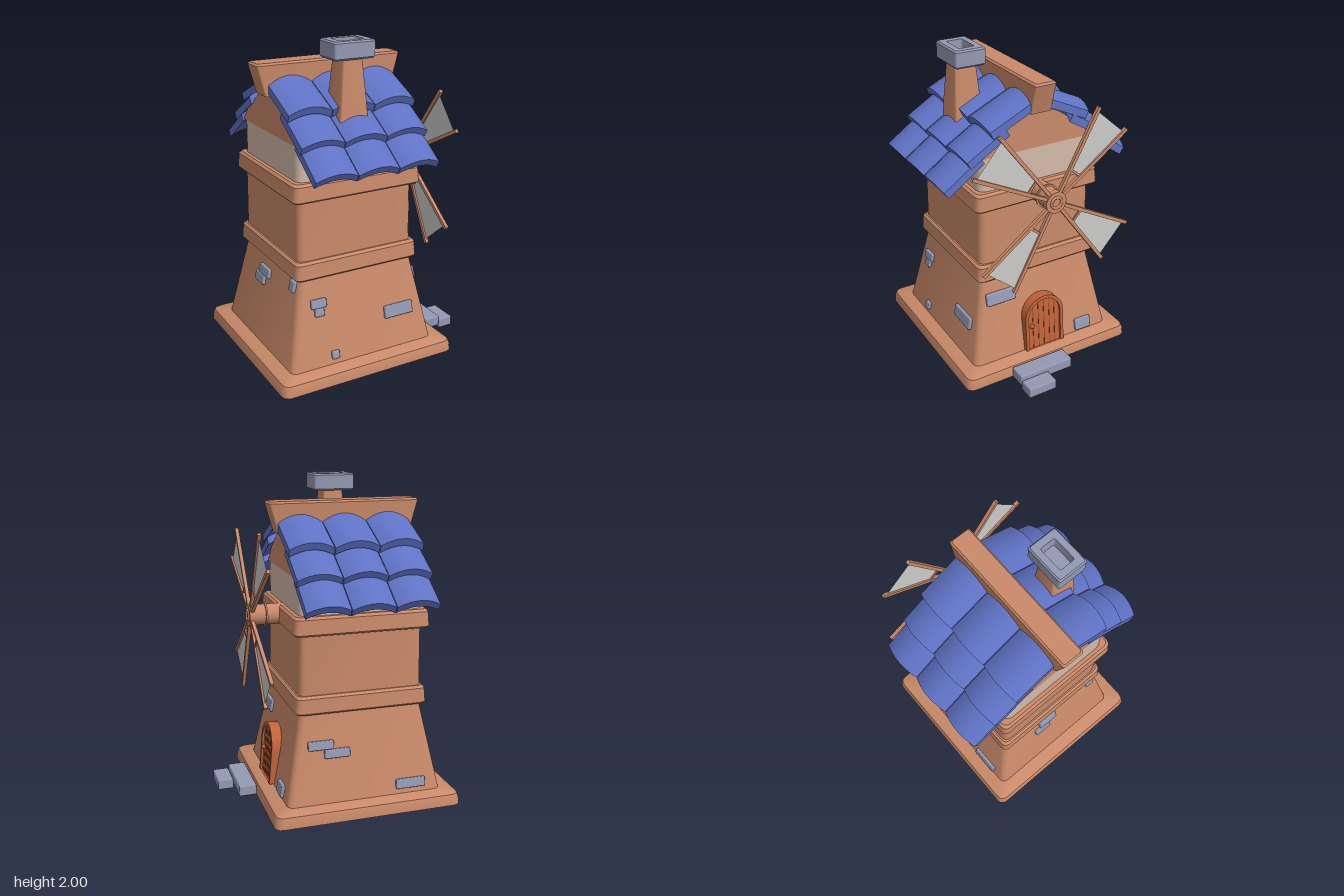
import * as THREE from 'three';
import { toCreasedNormals } from 'three/addons/utils/BufferGeometryUtils.js';
import { RoundedBoxGeometry } from 'three/addons/geometries/RoundedBoxGeometry.js';

const CX = -0.11; // tower axis

function flat(name, hex) {
  const m = new THREE.MeshStandardMaterial({ color: hex });
  m.name = name;
  return m;
}

function add(parent, name, geometry, material, x = 0, y = 0, z = 0) {
  const mesh = new THREE.Mesh(geometry, material);
  mesh.name = name;
  mesh.position.set(x, y, z);
  parent.add(mesh);
  return mesh;
}

function addGroup(parent, name, x = 0, y = 0, z = 0) {
  const g = new THREE.Group();
  g.name = name;
  g.position.set(x, y, z);
  parent.add(g);
  return g;
}

// Stack of rounded rectangles, each layer [y, halfX, halfZ], closed at both ends
function loft(layers, radius) {
  const pos = [], index = [], n = 16;
  for (const [y, hx, hz] of layers) {
    for (let i = 0; i < n; i++) {
      const q = Math.floor(i / 4);
      const a = q * Math.PI / 2 + (i % 4) * Math.PI / 6;
      const sx = q === 0 || q === 3 ? 1 : -1, sz = q < 2 ? -1 : 1;
      pos.push(sx * (hx - radius) + radius * Math.cos(a), y, sz * (hz - radius) - radius * Math.sin(a));
    }
  }
  for (let l = 0; l < layers.length - 1; l++) {
    for (let i = 0; i < n; i++) {
      const a = l * n + i, b = l * n + (i + 1) % n;
      index.push(a, b, b + n, a, b + n, a + n);
    }
  }
  const last = (layers.length - 1) * n, c = layers.length * n;
  pos.push(0, layers[0][0], 0, 0, layers.at(-1)[0], 0);
  for (let i = 0; i < n; i++) {
    const j = (i + 1) % n;
    index.push(c, j, i, c + 1, last + i, last + j);
  }
  const g = new THREE.BufferGeometry();
  g.setAttribute('position', new THREE.Float32BufferAttribute(pos, 3));
  g.setIndex(index);
  return toCreasedNormals(g, 0.62);
}

// Door outline: straight sides with a round top
function archShape(r, straight, PathType = THREE.Shape) {
  const s = new PathType();
  s.moveTo(-r, 0);
  s.lineTo(r, 0);
  s.lineTo(r, straight);
  s.absarc(0, straight, r, 0, Math.PI, false);
  s.lineTo(-r, 0);
  return s;
}

export function createModel() {
  const model = new THREE.Group();
  model.name = 'windmill';
  const clay = flat('clay', 0xc98a69);
  const cream = flat('cream plaster', 0xd2baa8);
  const blue = flat('blue tile', 0x5f72c4);
  const stone = flat('grey stone', 0x9399b2);
  const orange = flat('orange wood', 0xc0643a);
  const darkWood = flat('dark orange wood', 0x8e4524);
  const cloth = flat('sail cloth', 0xcbcbc9);
  cloth.side = THREE.DoubleSide;

  // Tower body
  const tower = addGroup(model, 'tower', CX);
  const sq = (pairs, r) => loft(pairs.map(([y, h]) => [y, h, h]), r);
  add(tower, 'base', sq([[0.02, 0.59], [0.06, 0.587], [0.088, 0.578], [0.1, 0.56]], 0.045), clay);
  add(tower, 'lowerWall', sq([[0.09, 0.492], [0.66, 0.382]], 0.04), clay);
  add(tower, 'middleWall', sq([[0.7, 0.386], [1.15, 0.382]], 0.04), clay);
  add(tower, 'upperWall', sq([[1.2, 0.38], [1.44, 0.378]], 0.05), cream);
  for (const [name, y, h] of [['lowerBand', 0.64, 0.415], ['upperBand', 1.12, 0.422]]) {
    add(tower, name, sq([[y, h - 0.012], [y + 0.012, h], [y + 0.1, h - 0.006], [y + 0.115, h - 0.02]], 0.035), clay);
  }

  // Gable block under the roof
  const gable = new THREE.Shape([[-0.378, 1.44], [0.378, 1.44], [0.3, 1.53], [0.15, 1.635], [0, 1.7],
    [-0.15, 1.635], [-0.3, 1.53]].map(p => new THREE.Vector2(...p)));
  const gableGeo = new THREE.ExtrudeGeometry(gable, { depth: 0.756, bevelEnabled: false });
  gableGeo.translate(0, 0, -0.378).rotateY(Math.PI / 2);
  add(tower, 'gable', gableGeo, clay);

  // Curved roof tiles: rows of [z, y, end z, end y, row width], mirrored front to back
  const roof = addGroup(model, 'roof', -0.1);
  const rows = [[0.03, 1.7, 0.31, 1.57, 0.83], [0.2, 1.57, 0.45, 1.42, 0.82], [0.36, 1.43, 0.59, 1.27, 0.8]];
  for (const turn of [0, Math.PI]) {
    const slope = addGroup(roof, turn ? 'backSlope' : 'frontSlope');
    slope.rotation.y = turn;
    for (const [z, y, z2, y2, width] of rows) {
      const w = width / 3, h = w / 2 - 0.002;
      const s = new THREE.Shape();
      s.moveTo(-h, 0);
      s.quadraticCurveTo(0, 0.085, h, 0);
      s.lineTo(h, 0.048);
      s.quadraticCurveTo(0, 0.135, -h, 0.048);
      const length = Math.hypot(z2 - z, y2 - y);
      const geo = toCreasedNormals(new THREE.ExtrudeGeometry(s, { depth: length, bevelEnabled: false, curveSegments: 8 }), 0.6);
      for (let i = -1; i <= 1; i++) {
        add(slope, 'roofTile', geo, blue, i * w, y, z).rotation.x = Math.atan2(y - y2, z2 - z);
      }
    }
  }
  add(model, 'ridgeBeam', loft([[1.67, 0.422, 0.07], [1.848, 0.472, 0.07], [1.86, 0.462, 0.06]], 0.012), clay, CX);

  // Chimney with a hollow cap
  const chimney = addGroup(model, 'chimney', -0.12, 0, 0.28);
  add(chimney, 'chimneyShaft', loft([[1.54, 0.092, 0.09], [1.66, 0.083, 0.085], [1.92, 0.06, 0.065]], 0.012), clay);
  add(chimney, 'chimneyCap', loft([[1.895, 0.122, 0.088], [1.905, 0.13, 0.096], [1.99, 0.13, 0.096],
    [2.0, 0.122, 0.088], [2.0, 0.08, 0.05], [1.93, 0.076, 0.047]], 0.012), stone);

  // Wall stones: [facing angle, offset along the wall, y, width, height]
  const bricks = [
    [0, -0.28, 0.485, 0.1, 0.055], [0, -0.28, 0.435, 0.06, 0.055], [0, 0.26, 0.328, 0.2, 0.078], [0, -0.2, 0.155, 0.05, 0.05],
    [1, -0.27, 0.51, 0.2, 0.08], [1, 0.303, 0.148, 0.115, 0.078],
    [2, -0.27, 0.45, 0.16, 0.055], [2, -0.17, 0.395, 0.16, 0.055], [2, 0.29, 0.16, 0.19, 0.06],
    [3, -0.04, 0.54, 0.14, 0.06], [3, -0.09, 0.48, 0.12, 0.06], [3, 0.33, 0.59, 0.06, 0.07],
  ];
  for (const [face, u, y, w, h] of bricks) {
    const side = addGroup(model, 'wallStone', CX);
    side.rotation.y = face * Math.PI / 2;
    const wall = 0.49 - 0.193 * (y - 0.1);
    add(side, 'stone', new RoundedBoxGeometry(w, h, 0.05, 2, 0.007), stone, u, y, wall - 0.006).rotation.x = -0.19;
  }

  // Steps beside the door
  add(model, 'upperStep', new RoundedBoxGeometry(0.11, 0.07, 0.37, 2, 0.008), stone, 0.535, 0.057, 0.103);
  add(model, 'lowerStep', new RoundedBoxGeometry(0.1, 0.066, 0.19, 2, 0.008), stone, 0.643, 0.033, 0.193);

  // Arched door, leaning with the wall
  const doorway = addGroup(model, 'doorway', 0.33, 0.1, 0);
  doorway.rotation.z = 0.083;
  const door = addGroup(doorway, 'door');
  door.rotation.y = Math.PI / 2;
  const frame = archShape(0.138, 0.222);
  frame.holes.push(archShape(0.116, 0.222, THREE.Path));
  add(door, 'doorFrame', new THREE.ExtrudeGeometry(frame, { depth: 0.08, bevelEnabled: false }), orange);
  add(door, 'doorPanel', new THREE.ExtrudeGeometry(archShape(0.117, 0.222), { depth: 0.066, bevelEnabled: false }), orange);
  for (const u of [-0.078, -0.038, 0.002, 0.042, 0.08]) {
    const h = 0.222 + Math.sqrt(0.115 ** 2 - u * u);
    add(door, 'plankGap', new THREE.BoxGeometry(0.005, h, 0.004), darkWood, u, h / 2, 0.066);
  }
  add(door, 'doorKnob', new THREE.SphereGeometry(0.015, 12, 8), orange, -0.09, 0.165, 0.073);

  // Rotor: local z points along the axle
  const rotor = addGroup(model, 'rotor', 0.475, 1.175, 0);
  rotor.rotation.y = Math.PI / 2;
  const disc = (name, r, z0, z1) => {
    const geo = new THREE.CylinderGeometry(r, r, z1 - z0, 24).rotateX(Math.PI / 2);
    add(rotor, name, geo, clay, 0, 0, (z0 + z1) / 2 - 0.475);
  };
  disc('axle', 0.064, 0.25, 0.47);
  disc('axleCollar', 0.075, 0.382, 0.392);
  disc('hub', 0.068, 0.455, 0.492);
  add(rotor, 'hubRing', new THREE.TorusGeometry(0.034, 0.009, 8, 24), clay, 0, 0, 0.017);

  // Four sails, each a pair of spars with cloth between
  const spread = 0.225;
  const at = (r, a) => new THREE.Vector2(r * Math.cos(a), r * Math.sin(a));
  const clothGeo = new THREE.ShapeGeometry(new THREE.Shape([at(0.2, -spread), at(0.575, -spread), at(0.575, spread), at(0.2, spread)]));
  const sparGeo = new THREE.BoxGeometry(0.56, 0.022, 0.022).translate(0.32, 0, 0);
  for (const degrees of [49, 140, 230, 319]) {
    const sail = addGroup(rotor, 'sail');
    sail.rotation.z = THREE.MathUtils.degToRad(degrees);
    add(sail, 'sailCloth', clothGeo, cloth);
    for (const s of [-1, 1]) add(sail, 'spar', sparGeo, clay).rotation.z = s * spread;
    add(sail, 'crossBar', new THREE.BoxGeometry(0.014, 0.095, 0.014), clay, 0.205, 0, 0);
  }
  return model;
}
